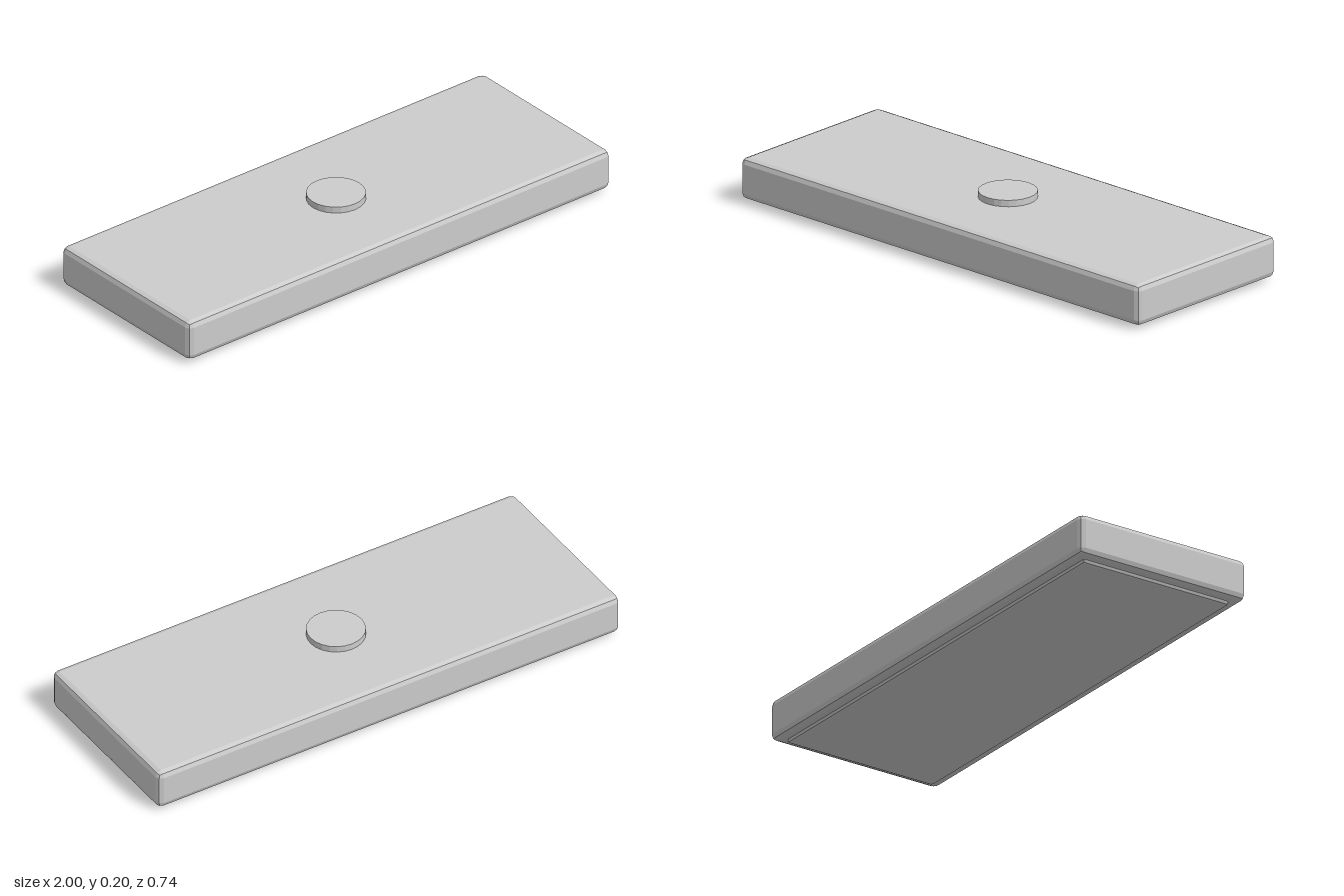
import * as THREE from 'three';
import { RoundedBoxGeometry } from 'three/addons/geometries/RoundedBoxGeometry.js';

// Facet the rounded edges so each bevel strip has its own flat shade
function faceted(geometry) {
  const g = geometry.index ? geometry.toNonIndexed() : geometry;
  g.computeVertexNormals();
  return g;
}

export function createModel() {
  const model = new THREE.Group();
  model.name = 'slab';

  const grey = new THREE.MeshStandardMaterial({ color: 0xcccccc });
  grey.name = 'light grey';

  // Adds a part whose underside sits at height y
  function add(name, geometry, y, height) {
    const mesh = new THREE.Mesh(faceted(geometry), grey);
    mesh.name = name;
    mesh.position.y = y + height / 2;
    model.add(mesh);
  }

  // Thin inset foot, its upper edge buried in the body
  add('basePlate', new RoundedBoxGeometry(1.91, 0.028, 0.65, 1, 0.012), 0, 0.028);

  // Main slab with two-step bevelled edges
  add('body', new RoundedBoxGeometry(2, 0.161, 0.74, 1, 0.023), 0.014, 0.161);

  // Round button on top, starting inside the body
  add('button', new THREE.CylinderGeometry(0.11, 0.11, 0.04, 24), 0.16, 0.04);

  return model;
}
